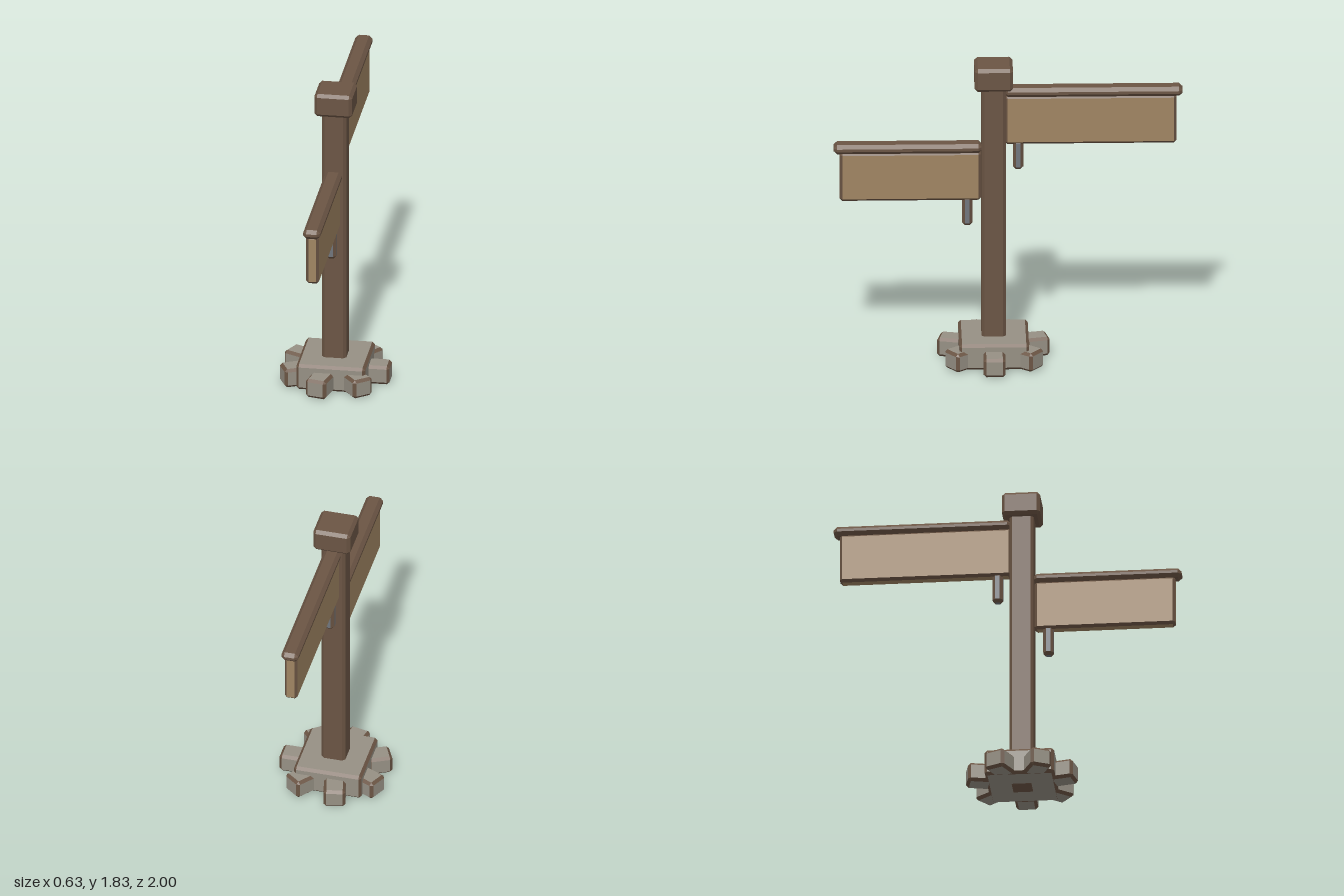
import * as THREE from 'three';
import { ConvexGeometry } from 'three/addons/geometries/ConvexGeometry.js';

const paint = (color) => new THREE.MeshStandardMaterial({ color, flatShading: true });

// Box with chamfered edges; group 0 holds the flat faces, group 1 the chamfers
function chamferBox(w, h, d, c) {
  const half = [w / 2, h / 2, d / 2];
  const points = [];
  for (const sx of [-1, 1]) for (const sy of [-1, 1]) for (const sz of [-1, 1]) {
    const sign = [sx, sy, sz];
    for (let axis = 0; axis < 3; axis++) {
      points.push(new THREE.Vector3(...half.map((v, i) => sign[i] * (i === axis ? v : v - c))));
    }
  }
  const hull = new ConvexGeometry(points);
  const pos = hull.attributes.position, nor = hull.attributes.normal;
  const flat = [], edge = [];
  for (let i = 0; i < pos.count; i += 3) {
    const n = Math.max(Math.abs(nor.getX(i)), Math.abs(nor.getY(i)), Math.abs(nor.getZ(i)));
    (n > 0.99 ? flat : edge).push(i, i + 1, i + 2);
  }
  hull.setIndex([...flat, ...edge]);
  hull.addGroup(0, flat.length, 0);
  hull.addGroup(flat.length, edge.length, 1);
  return hull;
}

export function createModel() {
  const model = new THREE.Group();
  model.name = 'signpost';
  const wood = paint(0x6b5544);
  const board = paint(0xa08562);
  const stone = paint(0x969084);
  const iron = paint(0x70757c);
  const cx = -0.01, cz = 0.083;

  // Places a chamfered box by its vertical and depth ranges
  function block(name, parent, material, x, width, [y0, y1], [z0, z1], chamfer) {
    const mesh = new THREE.Mesh(chamferBox(width, y1 - y0, z1 - z0, chamfer), [material, wood]);
    mesh.name = name;
    mesh.position.set(x, (y0 + y1) / 2, (z0 + z1) / 2);
    parent.add(mesh);
    return mesh;
  }

  // Upright post with its cap and square footing
  block('post', model, wood, cx, 0.14, [0, 1.72], [cz - 0.07, cz + 0.07], 0.016);
  block('postCap', model, wood, cx, 0.22, [1.685, 1.825], [cz - 0.11, cz + 0.11], 0.018);
  block('footing', model, stone, cx, 0.4, [0.003, 0.16], [cz - 0.2, cz + 0.2], 0.016);

  // Ring of stones around the footing
  const stones = new THREE.Group();
  stones.name = 'stoneRing';
  stones.position.set(cx, 0, cz);
  model.add(stones);
  for (let i = 0; i < 7; i++) {
    const arm = new THREE.Group();
    arm.name = 'stoneArm';
    arm.rotation.y = (i / 7) * Math.PI * 2;
    block('stone', arm, stone, 0.25, 0.14, [0.004, 0.118], [-0.063, 0.063], 0.016);
    stones.add(arm);
  }

  // Two signs: board, top rail and hanging peg
  function sign(name, y, boardZ, railZ, pegZ) {
    const group = new THREE.Group();
    group.name = name;
    block('board', group, board, cx, 0.075, [y, y + 0.298], boardZ, 0.015);
    block('topRail', group, wood, cx, 0.1, [y + 0.292, y + 0.348], railZ, 0.02);
    block('peg', group, iron, cx, 0.06, [y - 0.16, y + 0.02], [pegZ - 0.03, pegZ + 0.03], 0.017);
    model.add(group);
  }
  sign('upperSign', 1.333, [-0.965, 0.02], [-1, 0.02], -0.058);
  sign('lowerSign', 0.988, [0.155, 0.965], [0.15, 1], 0.234);

  return model;
}
